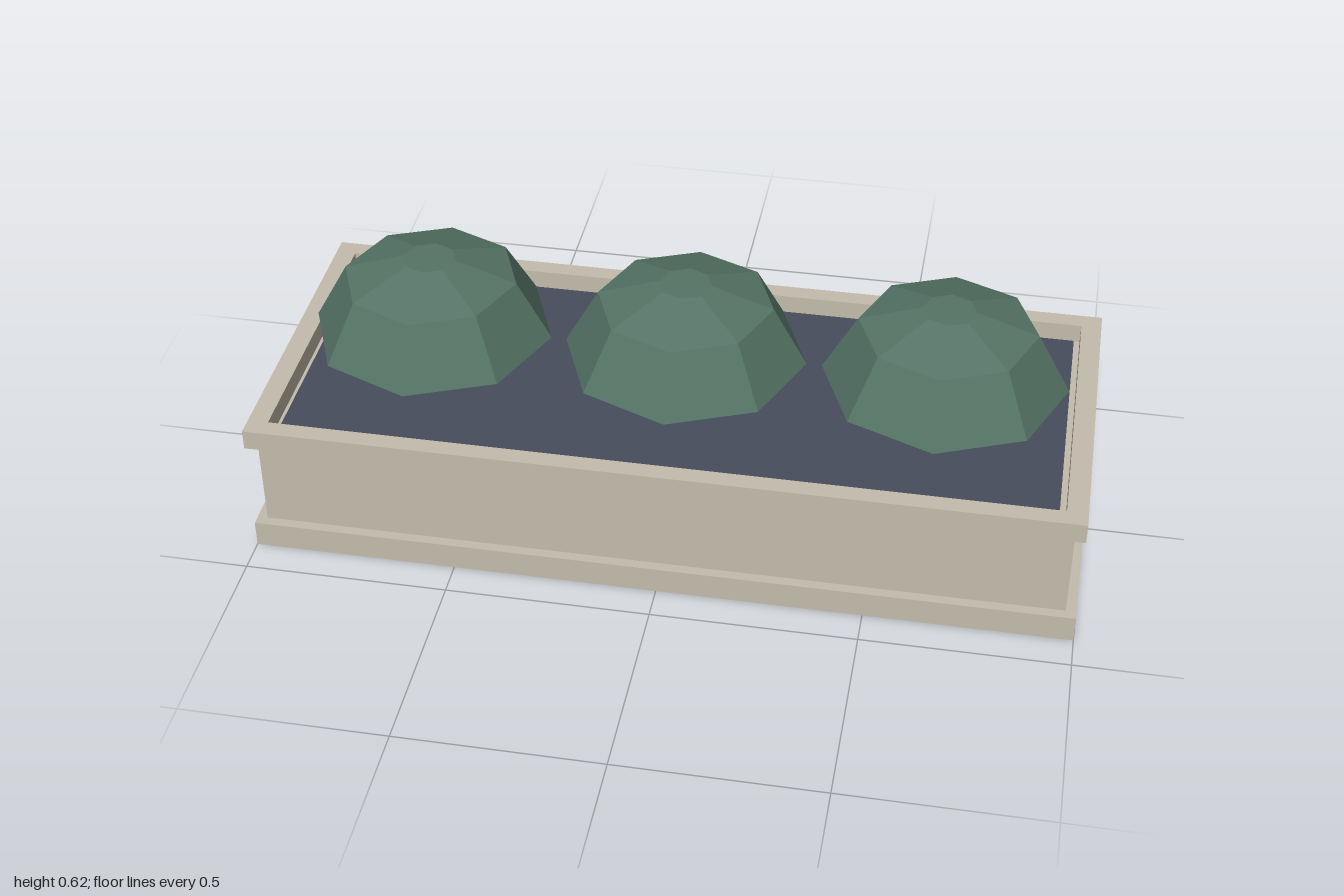
import * as THREE from 'three';

export function createModel() {
  const model = new THREE.Group();
  model.name = 'planter';

  const material = (name, color) => {
    const m = new THREE.MeshStandardMaterial({ color });
    m.name = name;
    return m;
  };
  const stone = material('stone', 0xc4bcac);
  const soilColor = material('soil', 0x464d5c);
  const leaf = material('leaf', 0x557466);

  const add = (name, geometry, mat, x, y, z) => {
    const mesh = new THREE.Mesh(geometry, mat);
    mesh.name = name;
    mesh.position.set(x, y, z);
    model.add(mesh);
  };
  // Box given by its half width, half depth, bottom and top
  const slab = (name, hx, hz, y0, y1, mat) =>
    add(name, new THREE.BoxGeometry(2 * hx, y1 - y0, 2 * hz), mat, 0, (y0 + y1) / 2, 0);

  // Trough: plinth, body and soil
  slab('plinth', 1, 0.415, 0, 0.068, stone);
  slab('body', 0.975, 0.39, 0.068, 0.302, stone);
  slab('soil', 0.935, 0.353, 0.302, 0.316, soilColor);

  // Open rim
  const rectangle = (path, hx, hz) =>
    path.moveTo(-hx, -hz).lineTo(hx, -hz).lineTo(hx, hz).lineTo(-hx, hz).closePath();
  const rim = new THREE.Shape();
  rectangle(rim, 1, 0.415);
  const opening = new THREE.Path();
  rectangle(opening, 0.95, 0.37);
  rim.holes.push(opening);
  const rimGeometry = new THREE.ExtrudeGeometry(rim, { depth: 0.051, bevelEnabled: false });
  rimGeometry.rotateX(-Math.PI / 2);
  add('rim', rimGeometry, stone, 0, 0.301, 0);

  // Faceted eight-sided bushes
  const profile = [[0, 0.312], [0.075, 0.312], [0.298, 0.418], [0.215, 0.568], [0.065, 0.618], [0, 0.618]]
    .map(([r, y]) => new THREE.Vector2(r, y));
  const bush = new THREE.LatheGeometry(profile, 8).toNonIndexed();
  bush.computeVertexNormals();
  for (const x of [-0.633, 0, 0.633]) add('bush', bush, leaf, x, 0, 0);

  return model;
}
